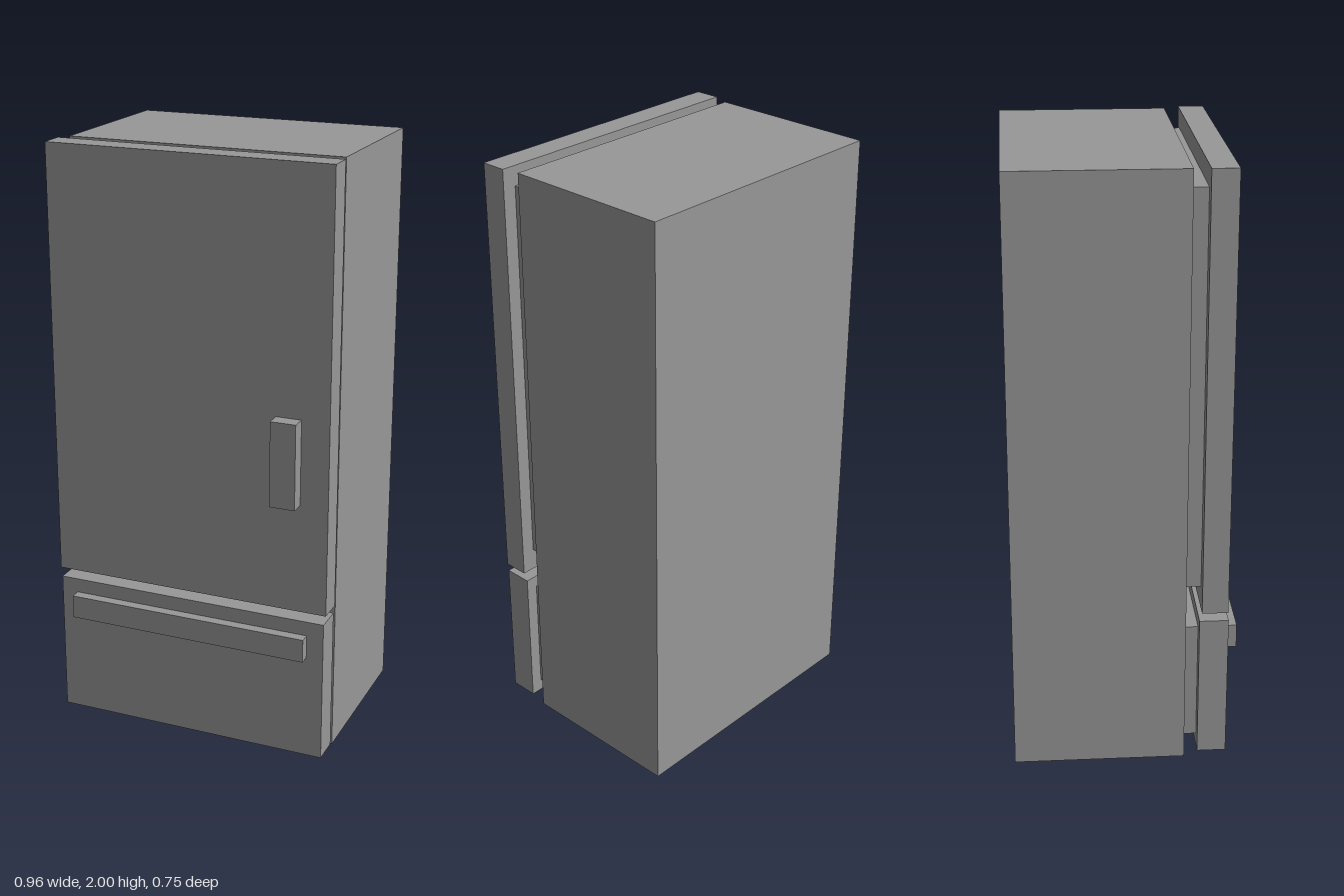
import * as THREE from 'three';

export function createModel() {
  const group = new THREE.Group();
  group.name = 'refrigerator';
  const grey = new THREE.MeshStandardMaterial({ color: 0x989898 });
  grey.name = 'grey';

  // Box given by its extents along each axis
  function box(name, [x0, x1], [y0, y1], [z0, z1]) {
    const mesh = new THREE.Mesh(new THREE.BoxGeometry(x1 - x0, y1 - y0, z1 - z0), grey);
    mesh.name = name;
    mesh.position.set((x0 + x1) / 2, (y0 + y1) / 2, (z0 + z1) / 2);
    group.add(mesh);
  }

  // Cabinet
  box('cabinet', [-0.465, 0.465], [0, 1.997], [-0.375, 0.19]);

  // Upper door with its seal and handle
  box('doorSeal', [-0.434, 0.434], [0.62, 1.935], [0.19, 0.24]);
  box('door', [-0.48, 0.48], [0.545, 2], [0.24, 0.325]);
  box('doorHandle', [0.301, 0.386], [0.915, 1.2], [0.325, 0.375]);

  // Freezer drawer with its seal and handle
  box('drawerSeal', [-0.434, 0.434], [0.067, 0.473], [0.19, 0.233]);
  box('drawer', [-0.474, 0.474], [0.025, 0.514], [0.233, 0.328]);
  box('drawerHandle', [-0.418, 0.417], [0.385, 0.465], [0.328, 0.363]);

  return group;
}
